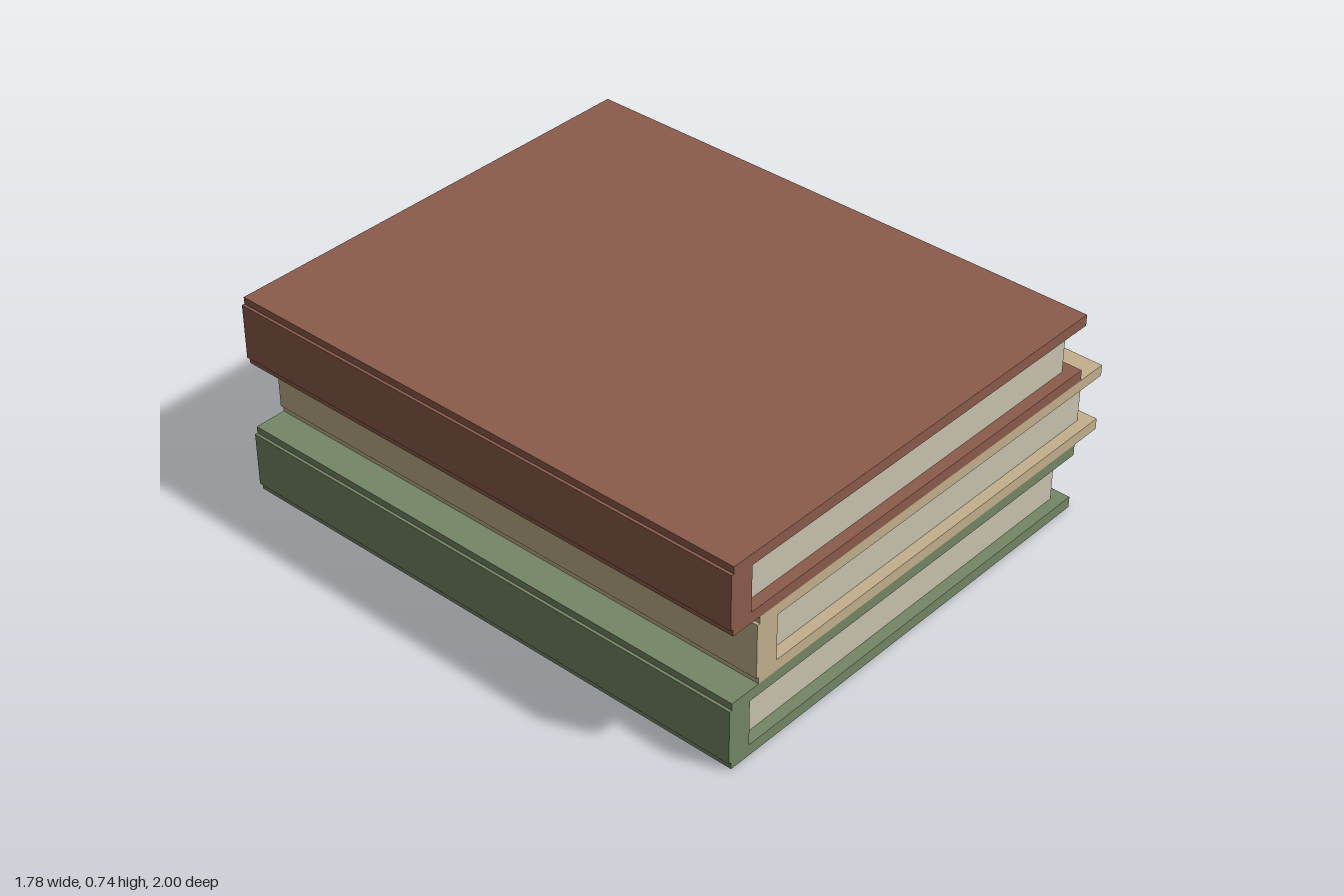
import * as THREE from 'three';

const BOOK_HEIGHT = 0.2467;
const BOARD = 0.04;
const DEPTH = 2;

// Hardback case: two boards joined by a spine that bulges slightly outward.
function makeCase(color) {
  const h = BOOK_HEIGHT;
  const profile = new THREE.Shape([
    [-0.88, 0], [0.773, 0], [0.773, BOARD], [-0.802, BOARD],
    [-0.802, h - BOARD], [0.773, h - BOARD], [0.773, h], [-0.88, h],
    [-0.88, h - 0.025], [-0.89, h - 0.025], [-0.89, 0.025], [-0.88, 0.025],
  ].map(([x, y]) => new THREE.Vector2(x, y)));
  const geometry = new THREE.ExtrudeGeometry(profile, { depth: DEPTH, bevelEnabled: false });
  geometry.translate(0, 0, -DEPTH / 2);
  return new THREE.Mesh(geometry, new THREE.MeshStandardMaterial({ color }));
}

// Page block, set back from the board edges on three sides.
function makePages() {
  const geometry = new THREE.BoxGeometry(1.527, BOOK_HEIGHT - 2 * BOARD, 1.92);
  geometry.translate(-0.0385, BOOK_HEIGHT / 2, 0);
  return new THREE.Mesh(geometry, new THREE.MeshStandardMaterial({ color: 0xcac2b0 }));
}

export function createModel() {
  const stack = new THREE.Group();
  stack.name = 'bookStack';

  // Books from bottom to top; the middle one is pushed sideways.
  const books = [
    { name: 'bottomBook', color: 0x758666, x: 0 },
    { name: 'middleBook', color: 0xc4b08d, x: 0.115 },
    { name: 'topBook', color: 0x8c5c4c, x: 0 },
  ];
  books.forEach(({ name, color, x }, i) => {
    const book = new THREE.Group();
    book.name = name;
    const cover = makeCase(color);
    cover.name = 'cover';
    const pages = makePages();
    pages.name = 'pages';
    book.add(cover, pages);
    book.position.set(x, i * BOOK_HEIGHT, 0);
    stack.add(book);
  });
  return stack;
}
